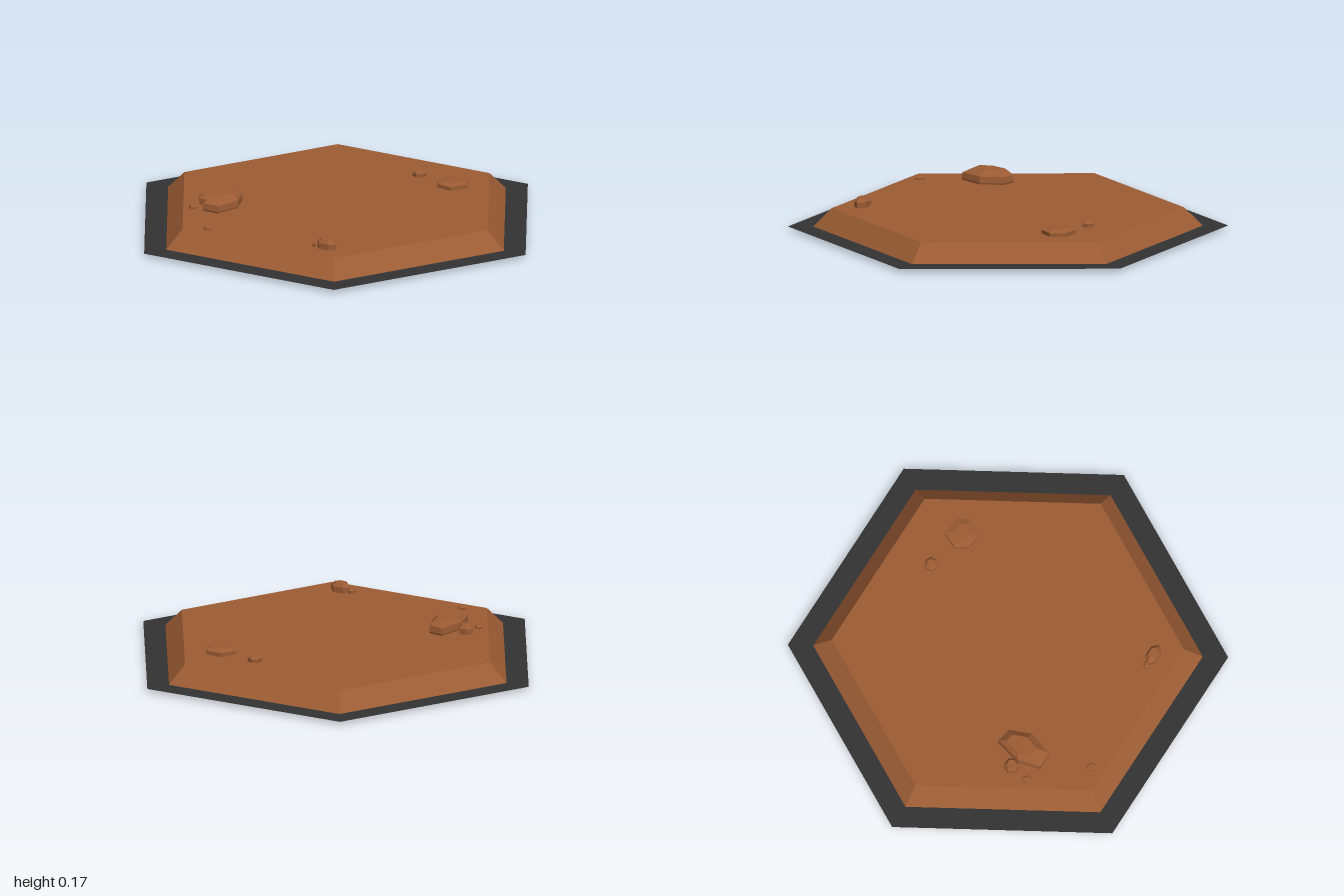
import * as THREE from 'three';

const soil = new THREE.MeshStandardMaterial({ color: 0x9c5c34, flatShading: true, side: THREE.DoubleSide });
const dark = new THREE.MeshStandardMaterial({ color: 0x333333, flatShading: true, side: THREE.DoubleSide });

function add(group, name, geometry, material) {
  const mesh = new THREE.Mesh(geometry, material);
  mesh.name = name;
  group.add(mesh);
}

// Closed faceted stone: an [x, z] outline, clockwise from above, stacked
// in rings of [height, scale, shiftX, shiftZ]
function stone(outline, rings) {
  const n = outline.length;
  const cx = outline.reduce((s, p) => s + p[0], 0) / n;
  const cz = outline.reduce((s, p) => s + p[1], 0) / n;
  const point = ([y, s, dx = 0, dz = 0], i) => {
    const [x, z] = outline[i % n];
    return [cx + (x - cx) * s + dx, y, cz + (z - cz) * s + dz];
  };
  const center = ([y, , dx = 0, dz = 0]) => [cx + dx, y, cz + dz];
  const v = [];
  const bottom = rings[0], top = rings[rings.length - 1];
  for (let i = 0; i < n; i++) {
    for (let r = 0; r + 1 < rings.length; r++) {
      const a = point(rings[r], i), b = point(rings[r], i + 1);
      const c = point(rings[r + 1], i), d = point(rings[r + 1], i + 1);
      v.push(...b, ...a, ...c, ...b, ...c, ...d);
    }
    v.push(...center(top), ...point(top, i + 1), ...point(top, i));
    v.push(...center(bottom), ...point(bottom, i), ...point(bottom, i + 1));
  }
  const g = new THREE.BufferGeometry();
  g.setAttribute('position', new THREE.Float32BufferAttribute(v, 3));
  g.computeVertexNormals();
  return g;
}

// Six-sided outline with half sizes rx, rz, turned by an angle
function hexOutline(x, z, rx, rz, turn) {
  return Array.from({ length: 6 }, (_, i) => {
    const a = i * Math.PI / 3;
    const px = Math.cos(a) * rx, pz = Math.sin(a) * rz * 1.15;
    return [x + px * Math.cos(turn) - pz * Math.sin(turn), z + px * Math.sin(turn) + pz * Math.cos(turn)];
  });
}

export function createModel() {
  const model = new THREE.Group();

  // Flat border sheet, just above the lower rim of the mound
  add(model, 'border', new THREE.CircleGeometry(1, 6).rotateX(-Math.PI / 2).translate(0, 0.015, 0), dark);

  // Raised hexagonal ground, open underneath
  add(model, 'groundSlope',
    new THREE.CylinderGeometry(0.8, 0.9, 0.1, 6, 1, true, Math.PI / 2).translate(0, 0.05, 0), soil);
  add(model, 'groundTop', new THREE.CircleGeometry(0.8, 6).rotateX(-Math.PI / 2).translate(0, 0.1, 0), soil);

  // Large boulder
  add(model, 'boulder', stone(
    [[-0.43, 0.21], [-0.36, 0.225], [-0.32, 0.33], [-0.36, 0.445], [-0.44, 0.445], [-0.465, 0.34]],
    [[0.107, 0.97], [0.115, 1], [0.143, 0.97], [0.17, 0.58, -0.005, -0.01]]), soil);

  // Broad low rock
  add(model, 'flatRock', stone(
    [[0.30, -0.525], [0.39, -0.52], [0.425, -0.455], [0.375, -0.385], [0.30, -0.395], [0.265, -0.45]],
    [[0.098, 0.97], [0.118, 0.98], [0.127, 0.5, 0.005, 0]]), soil);

  // Smaller rocks and pebbles: x, z, half width, half depth, height, turn
  const rocks = [
    [-0.495, 0.325, 0.036, 0.03, 0.145, 0],
    [0.30, 0.59, 0.052, 0.028, 0.145, 0],
    [0.145, -0.5, 0.032, 0.029, 0.128, Math.PI / 2],
    [-0.51, 0.415, 0.022, 0.015, 0.116, 0.8],
    [-0.305, 0.632, 0.023, 0.015, 0.114, 0.8],
    [0.245, 0.59, 0.018, 0.016, 0.122, 0.3],
  ];
  rocks.forEach(([x, z, rx, rz, h, turn], i) => {
    const shoulder = 0.1 + (h - 0.1) * 0.6;
    add(model, (i < 3 ? 'rock' : 'pebble') + (i % 3 + 1),
      stone(hexOutline(x, z, rx, rz, turn), [[0.098, 0.95], [shoulder, 1], [h, 0.6]]), soil);
  });

  return model;
}
